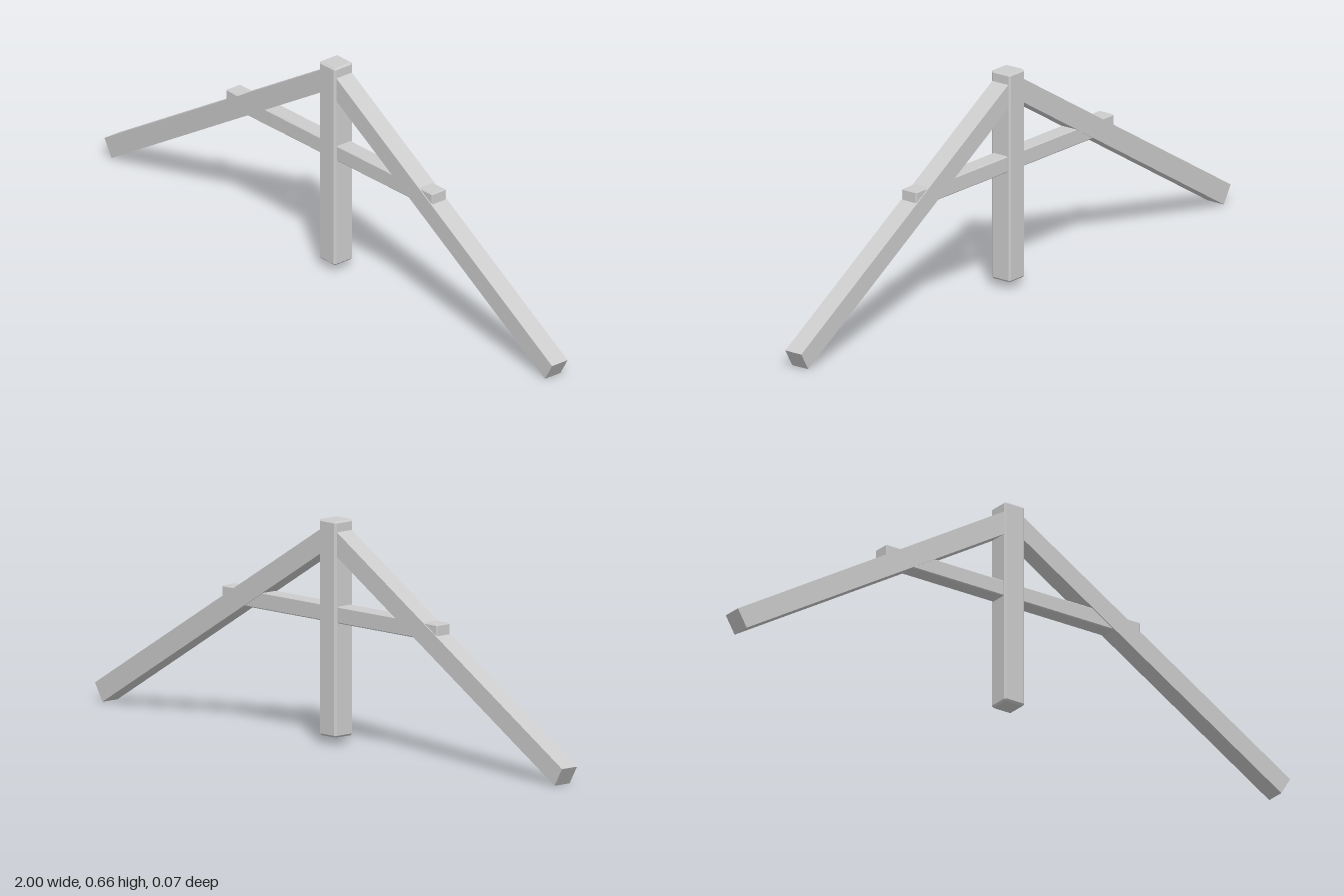
import * as THREE from 'three';
import { ConvexGeometry } from 'three/addons/geometries/ConvexGeometry.js';

// Box with every edge cut by a chamfer c
function chamferBox(w, h, d, c) {
  const half = [w / 2, h / 2, d / 2];
  const points = [];
  for (const sx of [-1, 1]) for (const sy of [-1, 1]) for (const sz of [-1, 1]) {
    for (let face = 0; face < 3; face++) {
      const p = half.map((v, i) => (i === face ? v : v - c));
      points.push(new THREE.Vector3(p[0] * sx, p[1] * sy, p[2] * sz));
    }
  }
  return new ConvexGeometry(points);
}

export function createModel() {
  const model = new THREE.Group();
  model.name = 'roofTruss';
  const timber = new THREE.MeshStandardMaterial({ color: 0xcccccc });
  timber.name = 'grey timber';

  function add(name, geometry, x, y, angle = 0) {
    const mesh = new THREE.Mesh(geometry, timber);
    mesh.name = name;
    mesh.position.set(x, y, 0);
    mesh.rotation.z = angle;
    model.add(mesh);
  }

  // Central king post
  add('kingPost', chamferBox(0.072, 0.642, 0.072, 0.006), 0, 0.343);

  // Horizontal collar beam
  add('collarBeam', chamferBox(0.92, 0.05, 0.054, 0.003), 0, 0.386);

  // Sloping rafters, square cut, meeting inside the post
  const foot = new THREE.Vector2(0.984, 0.0268);
  const peak = new THREE.Vector2(0, 0.617);
  const length = foot.distanceTo(peak);
  const pitch = Math.atan2(peak.y - foot.y, foot.x);
  for (const side of [-1, 1]) {
    add(side > 0 ? 'leftRafter' : 'rightRafter', new THREE.BoxGeometry(length, 0.0624, 0.06),
      side * foot.x / 2, (foot.y + peak.y) / 2, -side * pitch);
  }
  return model;
}
